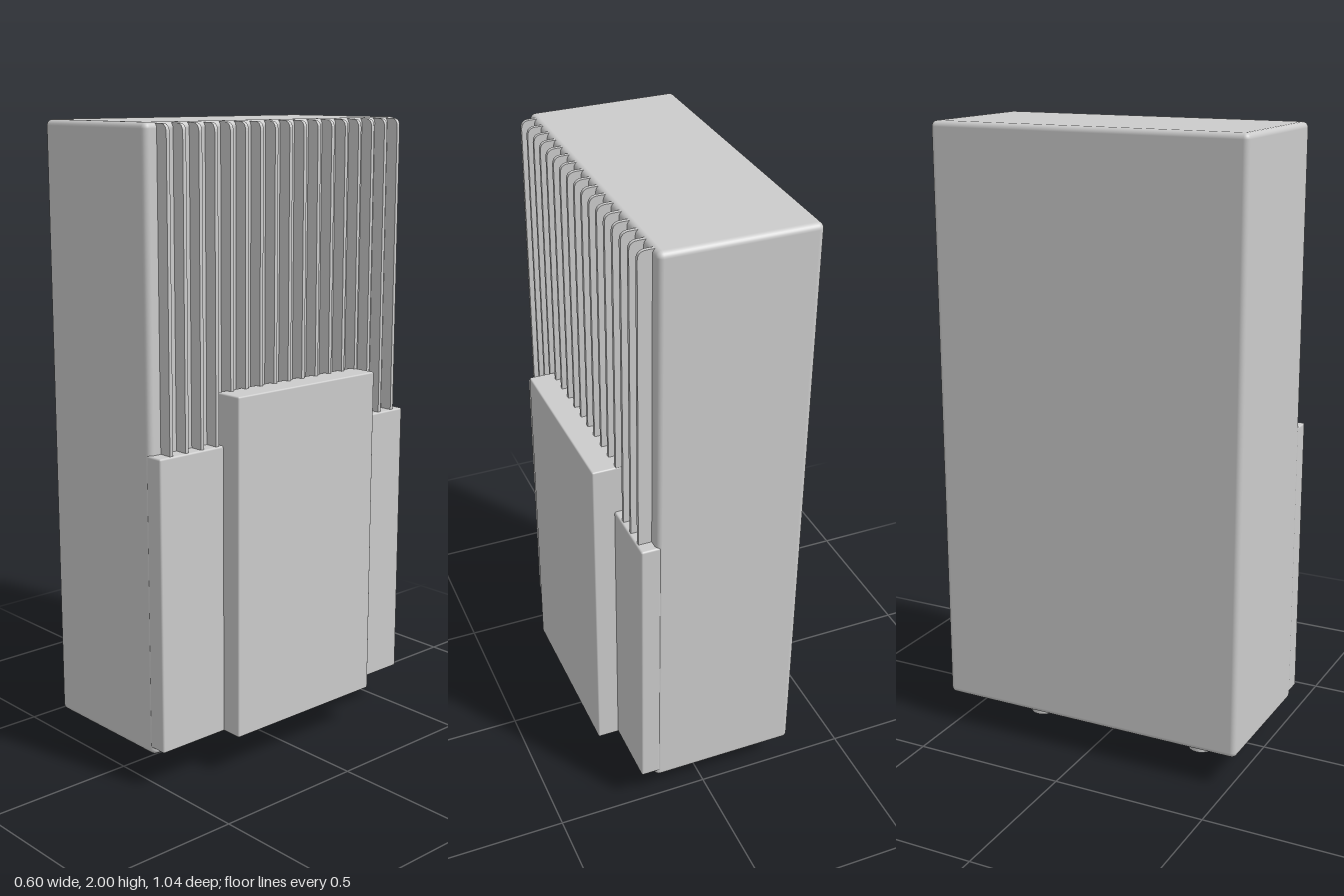
import * as THREE from 'three';
import { RoundedBoxGeometry } from 'three/addons/geometries/RoundedBoxGeometry.js';

const material = new THREE.MeshStandardMaterial({ color: 0xcccccc });

// Softened box given by its min and max corners
function block(name, [x0, y0, z0], [x1, y1, z1], radius, segments = 2) {
  const geometry = new RoundedBoxGeometry(x1 - x0, y1 - y0, z1 - z0, segments, radius);
  const mesh = new THREE.Mesh(geometry, material);
  mesh.position.set((x0 + x1) / 2, (y0 + y1) / 2, (z0 + z1) / 2);
  mesh.name = name;
  return mesh;
}

export function createModel() {
  const model = new THREE.Group();
  model.name = 'finnedCabinet';

  // Main housing, side cover and raised panel
  model.add(block('housing', [-0.3, 0.105, -0.52], [0.18, 2, 0.52], 0.018, 3));
  model.add(block('sideCover', [0.165, 0.13, -0.52], [0.228, 1.05, 0.52], 0.006));
  model.add(block('raisedPanel', [0.2, 0.13, -0.305], [0.297, 1.21, 0.277], 0.005));

  // Cooling fins with a rounded upper outer corner
  const profile = new THREE.Shape();
  profile.moveTo(0.165, 1.03);
  profile.lineTo(0.222, 1.03);
  profile.lineTo(0.222, 1.97);
  profile.quadraticCurveTo(0.222, 1.997, 0.195, 1.997);
  profile.lineTo(0.165, 1.997);
  profile.closePath();
  const thickness = 0.012;
  const finGeometry = new THREE.ExtrudeGeometry(profile, {
    depth: thickness, bevelEnabled: false, curveSegments: 6,
  });
  finGeometry.translate(0, 0, -thickness / 2);
  const fins = new THREE.Group();
  fins.name = 'coolingFins';
  const count = 17;
  for (let i = 0; i < count; i++) {
    const fin = new THREE.Mesh(finGeometry, material);
    fin.name = 'coolingFin';
    fin.position.z = -0.475 + (i * 0.947) / (count - 1);
    fins.add(fin);
  }
  model.add(fins);

  // Two connector pegs under the housing
  const pegGeometry = new THREE.CylinderGeometry(0.04, 0.04, 0.125, 32);
  for (const z of [0.315, -0.28]) {
    const peg = new THREE.Mesh(pegGeometry, material);
    peg.name = 'connectorPeg';
    peg.position.set(-0.09, 0.0625, z);
    model.add(peg);
  }

  return model;
}
